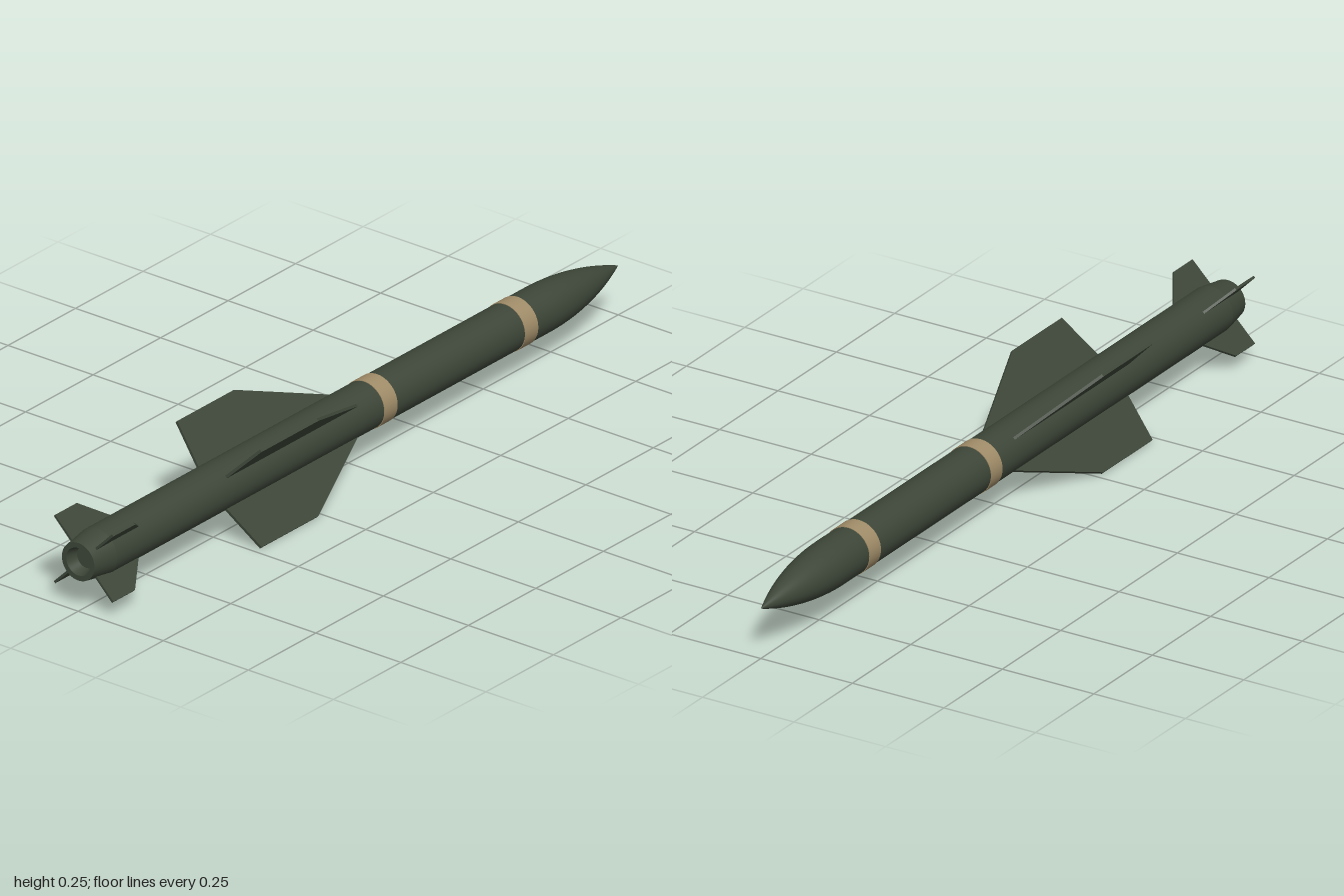
import * as THREE from 'three';

export function createModel() {
  const model = new THREE.Group();
  const green = new THREE.MeshStandardMaterial({ color: 0x3d4638 });
  green.name = 'olive green';
  const tan = new THREE.MeshStandardMaterial({ color: 0xa08c68 });
  tan.name = 'tan';

  const R = 0.059;        // body radius
  const AXIS_Y = 0.127;   // height of the body axis

  // Revolve [radius, z] points, listed tail to nose, around the z axis
  function revolve(name, points, material) {
    const geometry = new THREE.LatheGeometry(
      points.map(([r, z]) => new THREE.Vector2(r, -z)), 48);
    geometry.rotateX(-Math.PI / 2);
    const mesh = new THREE.Mesh(geometry, material);
    mesh.name = name;
    mesh.position.y = AXIS_Y;
    model.add(mesh);
  }

  // Straight body and tapered tail
  revolve('body', [[R, 0.93], [R, -0.7]], green);
  revolve('tailCone', [[0.048, 1], [R, 0.93]], green);

  // Tangent ogive nose
  const length = 0.3;
  const rho = (R * R + length * length) / (2 * R);
  const nose = [];
  for (let i = 0; i <= 20; i++) {
    const d = length * i / 20;
    nose.push([Math.max(0, Math.sqrt(rho * rho - d * d) - rho + R), -0.7 - d]);
  }
  revolve('nose', nose, green);

  // Exhaust: flat rim, recessed wall and inner disc
  revolve('nozzleRim', [[0.035, 1], [0.048, 1]], green);
  revolve('nozzleWall', [[0.027, 0.97], [0.035, 1]], green);
  revolve('nozzleDisc', [[0, 0.97], [0.027, 0.97]], green);

  // Painted bands
  for (const [name, z] of [['middleBand', -0.083], ['noseBand', -0.604]]) {
    const a = z + 0.024, b = z - 0.024, r = R + 0.0015;
    revolve(name, [[r, a], [r, b]], tan);
    revolve(name + 'RearEdge', [[R - 0.001, a], [r, a]], tan);
    revolve(name + 'FrontEdge', [[r, b], [R - 0.001, b]], tan);
  }

  // Four fins in an X, outline given as [radius, z]
  function fins(name, outline, thickness) {
    const shape = new THREE.Shape(outline.map(([r, z]) => new THREE.Vector2(r, z)));
    const geometry = new THREE.ExtrudeGeometry(shape, { depth: thickness, bevelEnabled: false });
    geometry.translate(0, 0, -thickness / 2);
    geometry.rotateX(Math.PI / 2);
    for (let i = 0; i < 4; i++) {
      const fin = new THREE.Mesh(geometry, green);
      fin.name = name;
      fin.position.y = AXIS_Y;
      fin.rotation.z = Math.PI / 4 + i * Math.PI / 2;
      model.add(fin);
    }
  }
  fins('wing', [[0.05, 0], [0.1755, 0.27], [0.1755, 0.48], [0.05, 0.507]], 0.007);
  fins('tailFin', [[0.04, 0.81], [0.058, 0.83], [0.121, 0.9], [0.121, 0.98], [0.04, 0.98]], 0.006);

  return model;
}
